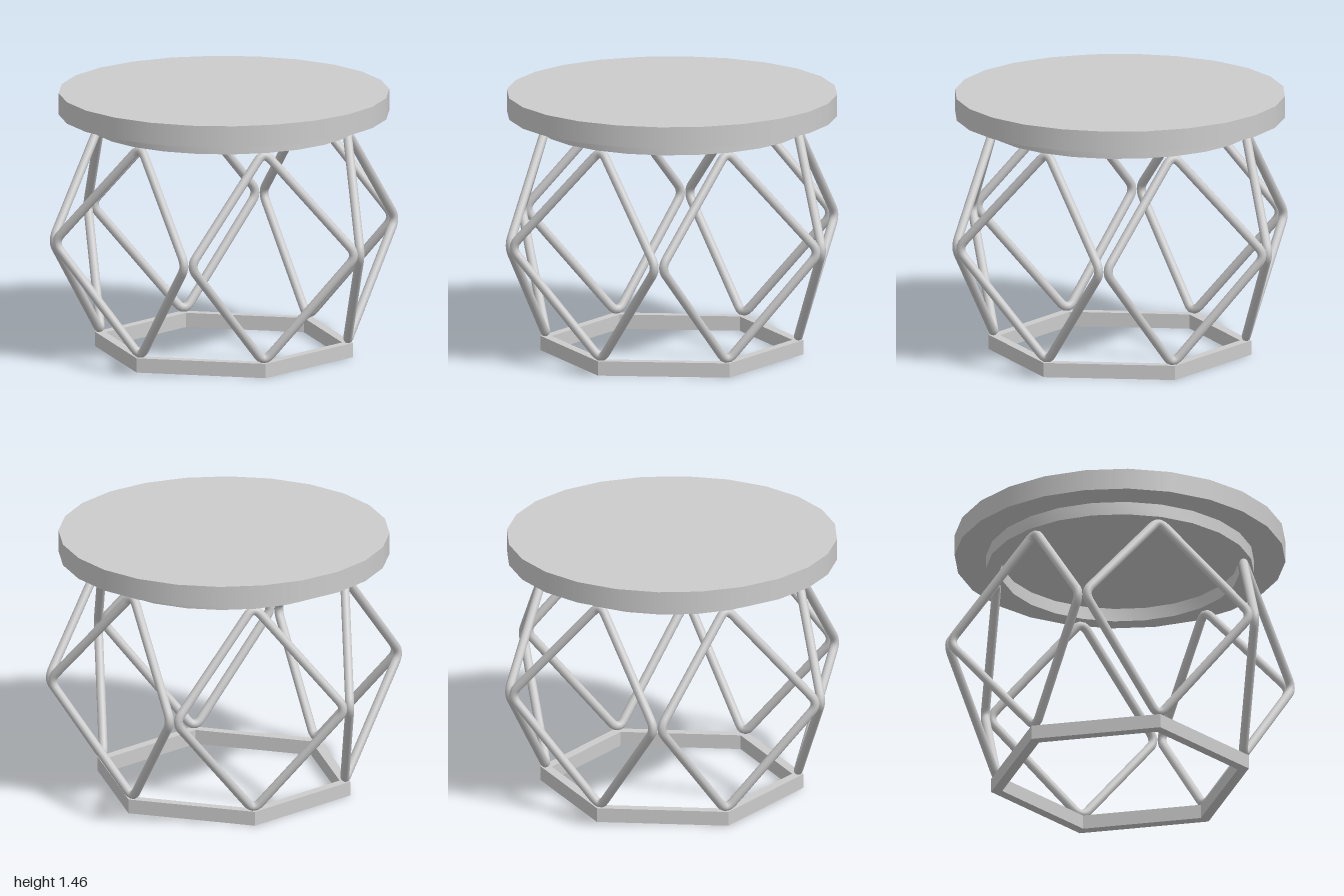
import * as THREE from 'three';
import { toCreasedNormals } from 'three/addons/utils/BufferGeometryUtils.js';

const material = new THREE.MeshStandardMaterial({ color: 0xcccccc });

function addMesh(parent, name, geometry) {
  const mesh = new THREE.Mesh(geometry, material);
  mesh.name = name;
  parent.add(mesh);
  return mesh;
}

// Rectangular-section ring with a given number of sides, one corner facing +z
function ringGeometry(inner, outer, y0, y1, sides) {
  const profile = [[inner, y0], [outer, y0], [outer, y1], [inner, y1], [inner, y0]]
    .map(([r, y]) => new THREE.Vector2(r, y));
  return toCreasedNormals(new THREE.LatheGeometry(profile, sides), 0.5);
}

// Closed path through the corners, each one rounded by a short curve
function roundedLoop(corners, cut) {
  const path = new THREE.CurvePath();
  const n = corners.length;
  const toward = (a, b) => a.clone().add(b.clone().sub(a).setLength(cut));
  for (let i = 0; i < n; i++) {
    const prev = corners[(i + n - 1) % n];
    const here = corners[i];
    const next = corners[(i + 1) % n];
    path.add(new THREE.QuadraticBezierCurve3(toward(here, prev), here, toward(here, next)));
    path.add(new THREE.LineCurve3(toward(here, next), toward(next, here)));
  }
  return path;
}

export function createModel() {
  const model = new THREE.Group();
  model.name = 'stool';

  // Seat disc and the ring below it
  const seat = addMesh(model, 'seat', new THREE.CylinderGeometry(0.907, 0.907, 0.12, 24));
  seat.position.y = 1.4;
  addMesh(model, 'seatRing', ringGeometry(0.655, 0.735, 1.265, 1.34, 24));

  // Hexagonal foot frame
  addMesh(model, 'footFrame', ringGeometry(0.66, 0.722, 0, 0.08, 6));

  // Six bent-tube diamonds, folded outward at the waist
  const corners = [
    [0, 0.08, 0.688], [0.482, 0.685, 0.861], [0, 1.263, 0.688], [-0.482, 0.685, 0.861],
  ].map((p) => new THREE.Vector3(...p));
  const tube = new THREE.TubeGeometry(roundedLoop(corners, 0.06), 160, 0.025, 12, true);
  const legs = new THREE.Group();
  legs.name = 'legs';
  for (let i = 0; i < 6; i++) {
    addMesh(legs, 'diamondLeg' + (i + 1), tube).rotation.y = (i * Math.PI) / 3;
  }
  model.add(legs);

  return model;
}
